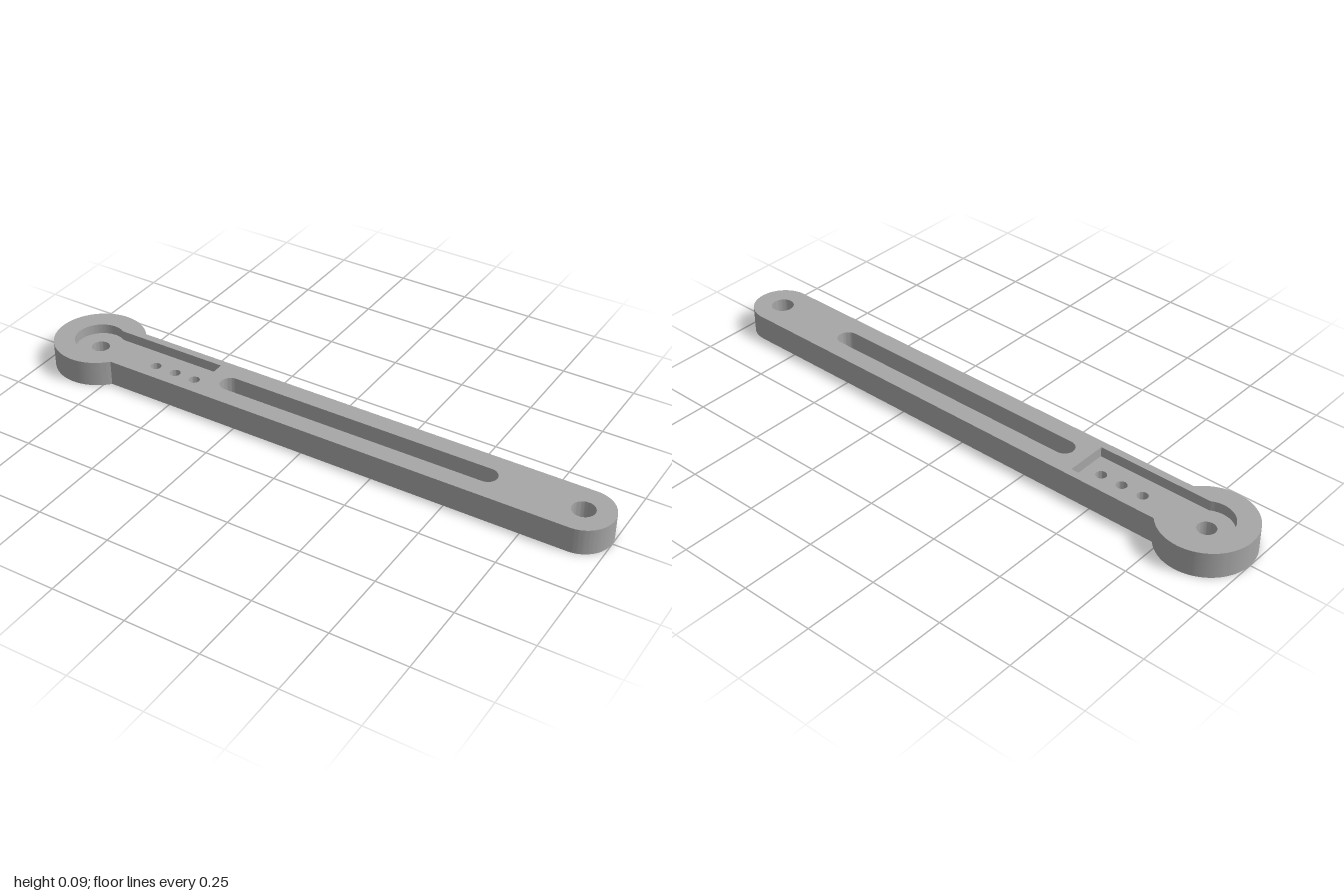
import * as THREE from 'three';
import { toCreasedNormals } from 'three/addons/utils/BufferGeometryUtils.js';

const HEIGHT = 0.087, FLOOR = 0.053;   // full thickness, pocket floor level
const HUB = -0.847, TIP = 0.902;       // x of the two pivot centres

// Points of an arc centred on the long axis
function arc(cx, r, a0, a1, n = 48) {
  return Array.from({ length: n + 1 }, (_, i) => {
    const a = a0 + (a1 - a0) * i / n;
    return new THREE.Vector2(cx + r * Math.cos(a), r * Math.sin(a));
  });
}
const circle = (cx, r, n = 48) => arc(cx, r, 0, Math.PI * 2, n).slice(0, -1);

// Flat face with holes, looking up or down
function cap(outline, holes, y, up) {
  const shape = new THREE.Shape(outline);
  shape.holes = holes.map(h => new THREE.Path(h));
  return new THREE.ShapeGeometry(shape)
    .rotateX(up ? -Math.PI / 2 : Math.PI / 2).translate(0, y, 0);
}

// Vertical wall along a closed counter-clockwise loop; inner walls face the hole
function wall(loop, y0, y1, inner = true) {
  const pts = inner ? [...loop].reverse() : loop;
  const pos = [];
  pts.forEach((a, i) => {
    const b = pts[(i + 1) % pts.length];
    pos.push(a.x, y0, -a.y, b.x, y0, -b.y, b.x, y1, -b.y);
    pos.push(a.x, y0, -a.y, b.x, y1, -b.y, a.x, y1, -a.y);
  });
  const g = new THREE.BufferGeometry();
  g.setAttribute('position', new THREE.Float32BufferAttribute(pos, 3));
  return toCreasedNormals(g, 0.5);
}

export function createModel() {
  const group = new THREE.Group();
  const metal = new THREE.MeshStandardMaterial({ color: 0xa6a6a6 });
  metal.name = 'grey metal';
  const add = (name, geometry) => {
    const mesh = new THREE.Mesh(geometry, metal);
    mesh.name = name;
    group.add(mesh);
  };

  // Outline: round hub running into a straight arm with a rounded tip
  const a = Math.asin(0.098 / 0.153), q = Math.PI / 2;
  const outline = [
    ...arc(HUB, 0.153, a, Math.PI * 2 - a, 80),
    ...arc(TIP, 0.098, -q, q),
  ];

  // Keyhole-shaped pocket sunk into the top
  const b = Math.asin(0.072 / 0.083);
  const pocket = [
    ...arc(HUB, 0.083, b, Math.PI * 2 - b, 64),
    new THREE.Vector2(-0.41, -0.072), new THREE.Vector2(-0.41, 0.072),
  ];

  // Through openings
  const slot = [...arc(0.591, 0.034, -q, q, 24), ...arc(-0.325, 0.034, q, 3 * q, 24)];
  const tipHole = circle(TIP, 0.037);
  const pocketHoles = [
    circle(HUB, 0.03),
    ...[-0.62, -0.543, -0.467].map(x => circle(x, 0.018, 32)),
  ];

  // Horizontal faces
  add('topFace', cap(outline, [pocket, slot, tipHole], HEIGHT, true));
  add('pocketFloor', cap(pocket, pocketHoles, FLOOR, true));
  add('bottomFace', cap(outline, [slot, tipHole, ...pocketHoles], 0, false));

  // Vertical walls
  add('outerWall', wall(outline, 0, HEIGHT, false));
  add('pocketWall', wall(pocket, FLOOR, HEIGHT));
  add('slotWall', wall(slot, 0, HEIGHT));
  add('tipHoleWall', wall(tipHole, 0, HEIGHT));
  pocketHoles.forEach((h, i) => add(i ? `screwHoleWall${i}` : 'hubHoleWall', wall(h, 0, FLOOR)));

  return group;
}
